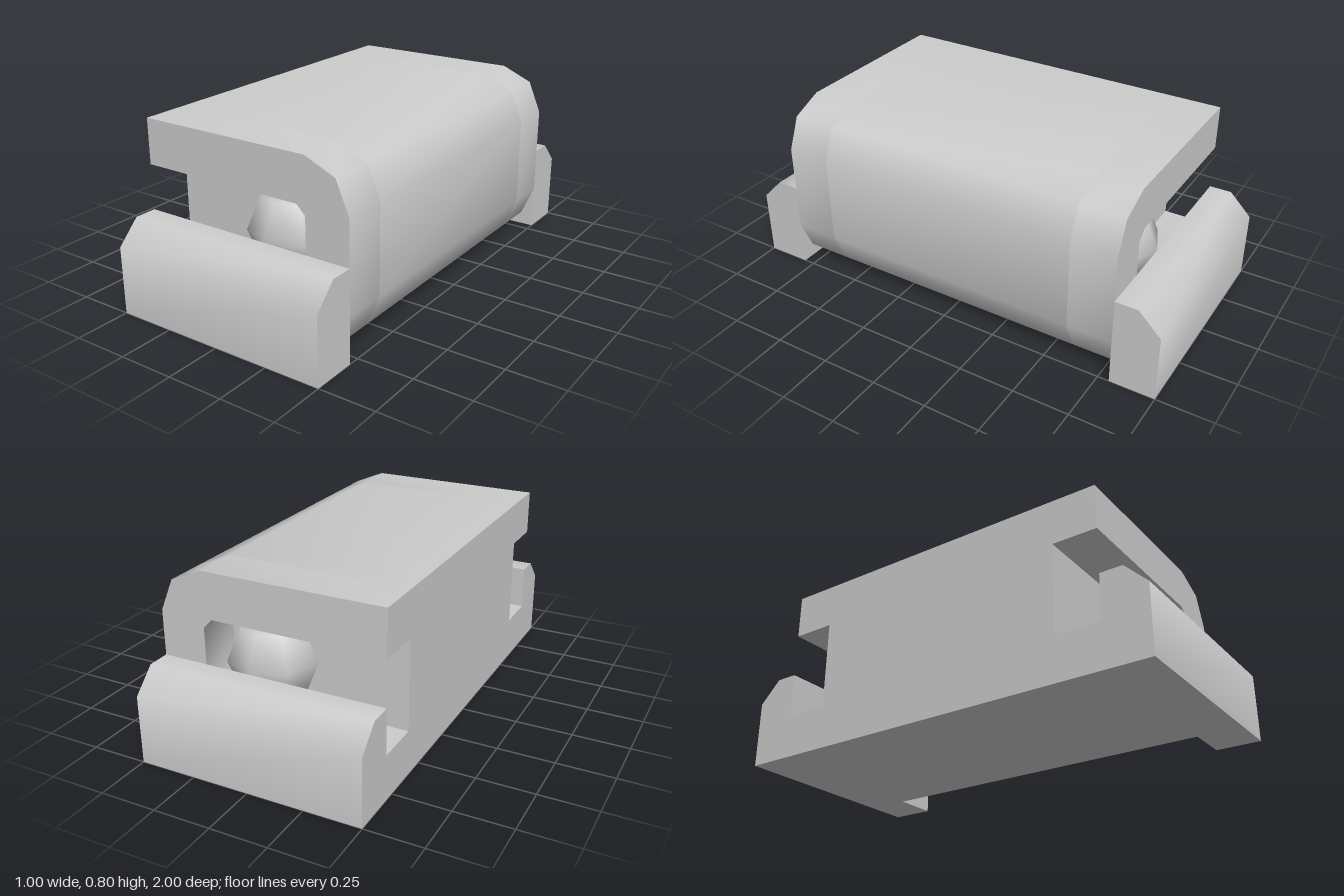
import * as THREE from 'three';
import { toCreasedNormals } from 'three/addons/utils/BufferGeometryUtils.js';

const material = new THREE.MeshStandardMaterial({ color: 0xcccccc });

// Extrudes a closed outline along z, centred on z = 0, with soft bevels and sharp ends
function prism(points, depth) {
  const shape = new THREE.Shape(points.map(([x, y]) => new THREE.Vector2(x, y)));
  const geometry = new THREE.ExtrudeGeometry(shape, { depth, bevelEnabled: false, steps: 1 });
  geometry.translate(0, 0, -depth / 2);
  return toCreasedNormals(geometry, 0.9);
}

function part(name, geometry) {
  const mesh = new THREE.Mesh(geometry, material);
  mesh.name = name;
  return mesh;
}

export function createModel() {
  const model = new THREE.Group();
  model.name = 'sliderBlock';

  // Block outline: square on the -x side, rounded on the +x side
  const outline = [
    [-0.5, 0], [0.3, 0], [0.44, 0.06], [0.5, 0.2],
    [0.5, 0.6], [0.44, 0.74], [0.3, 0.8], [-0.5, 0.8],
  ];
  // Pocket cut into each end, open toward -x
  const pocket = [
    [-0.5, 0.6], [0.26, 0.6], [0.3, 0.56], [0.3, 0.24], [0.26, 0.2], [-0.5, 0.2],
  ];
  model.add(part('body', prism(outline, 1.2)));

  const hookGeometry = prism([...outline, ...pocket], 0.2);

  // Retaining lip: profile in z and y, running across x
  const lipGeometry = prism([[0.8, 0], [1, 0], [1, 0.3], [0.9, 0.4], [0.8, 0.4]], 1);
  lipGeometry.rotateY(-Math.PI / 2);

  // Half ball standing out of the pocket wall
  const ballGeometry = new THREE.SphereGeometry(0.2, 4, 4, 0, Math.PI);

  for (const side of [1, -1]) {
    const label = side > 0 ? 'front' : 'back';
    const turn = side > 0 ? 0 : Math.PI;

    const hook = part(label + 'Hook', hookGeometry);
    hook.position.z = side * 0.7;

    const lip = part(label + 'Lip', lipGeometry);
    lip.rotation.y = turn;

    const ball = part(label + 'Ball', ballGeometry);
    ball.position.set(0.1, 0.4, side * 0.6);
    ball.rotation.y = turn;

    model.add(hook, lip, ball);
  }
  return model;
}
